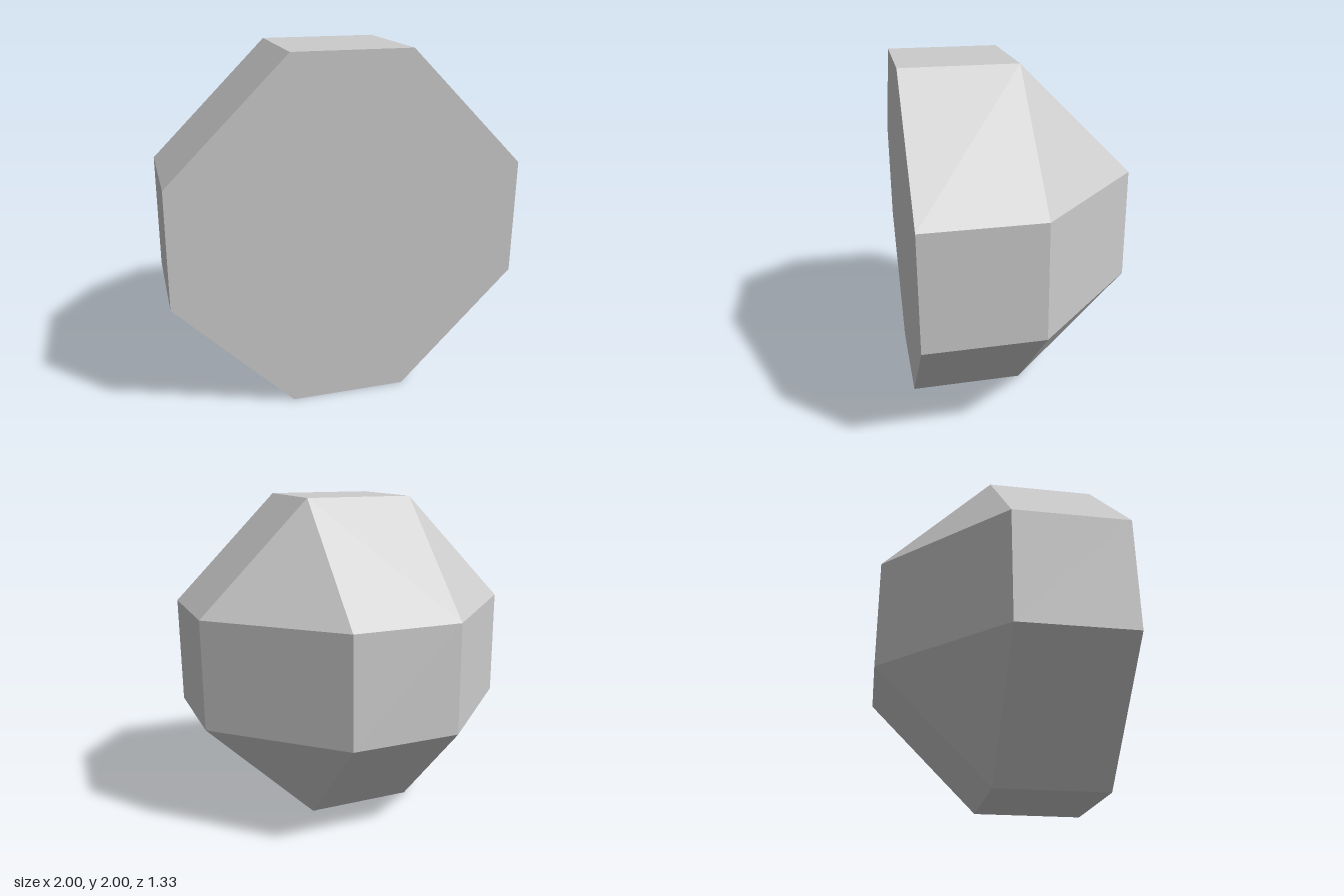
import * as THREE from 'three';

const A = 1 / 3;

// Octagon corners, counter-clockwise seen from the front
const OCTAGON = [[1, -A], [1, A], [A, 1], [-A, 1], [-1, A], [-1, -A], [-A, -1], [A, -1]];

const ring = (points, z) => points.map(([x, y]) => new THREE.Vector3(x, y + 1, z));

// Flat-faced solid through rings ordered front to back, closed at both ends
function loft(rings) {
  const positions = [];
  const tri = (a, b, c) => {
    if (a.equals(b) || b.equals(c) || c.equals(a)) return; // merged corners
    for (const p of [a, b, c]) positions.push(p.x, p.y, p.z);
  };
  const n = rings[0].length;
  for (let r = 0; r < rings.length - 1; r++) {
    const [f, b] = [rings[r], rings[r + 1]];
    for (let i = 0; i < n; i++) {
      const j = (i + 1) % n;
      tri(f[i], b[i], b[j]);
      tri(f[i], b[j], f[j]);
    }
  }
  const front = rings[0], back = rings[rings.length - 1];
  for (let i = 1; i < n - 1; i++) {
    tri(front[0], front[i], front[i + 1]);
    tri(back[0], back[i + 1], back[i]);
  }
  const geometry = new THREE.BufferGeometry();
  geometry.setAttribute('position', new THREE.Float32BufferAttribute(positions, 3));
  geometry.computeVertexNormals();
  return geometry;
}

export function createModel() {
  const group = new THREE.Group();
  group.name = 'facetedHalfSolid';

  // Each pair of octagon corners tapers to one corner of the back square
  const square = OCTAGON.map(([x, y]) => [Math.sign(x) * A, Math.sign(y) * A]);

  // Octagonal prism in front, bevelled cap behind
  const body = new THREE.Mesh(
    loft([ring(OCTAGON, 2 * A), ring(OCTAGON, 0), ring(square, -2 * A)]),
    new THREE.MeshStandardMaterial({ color: 0xcccccc, flatShading: true })
  );
  body.name = 'body';
  group.add(body);
  return group;
}
